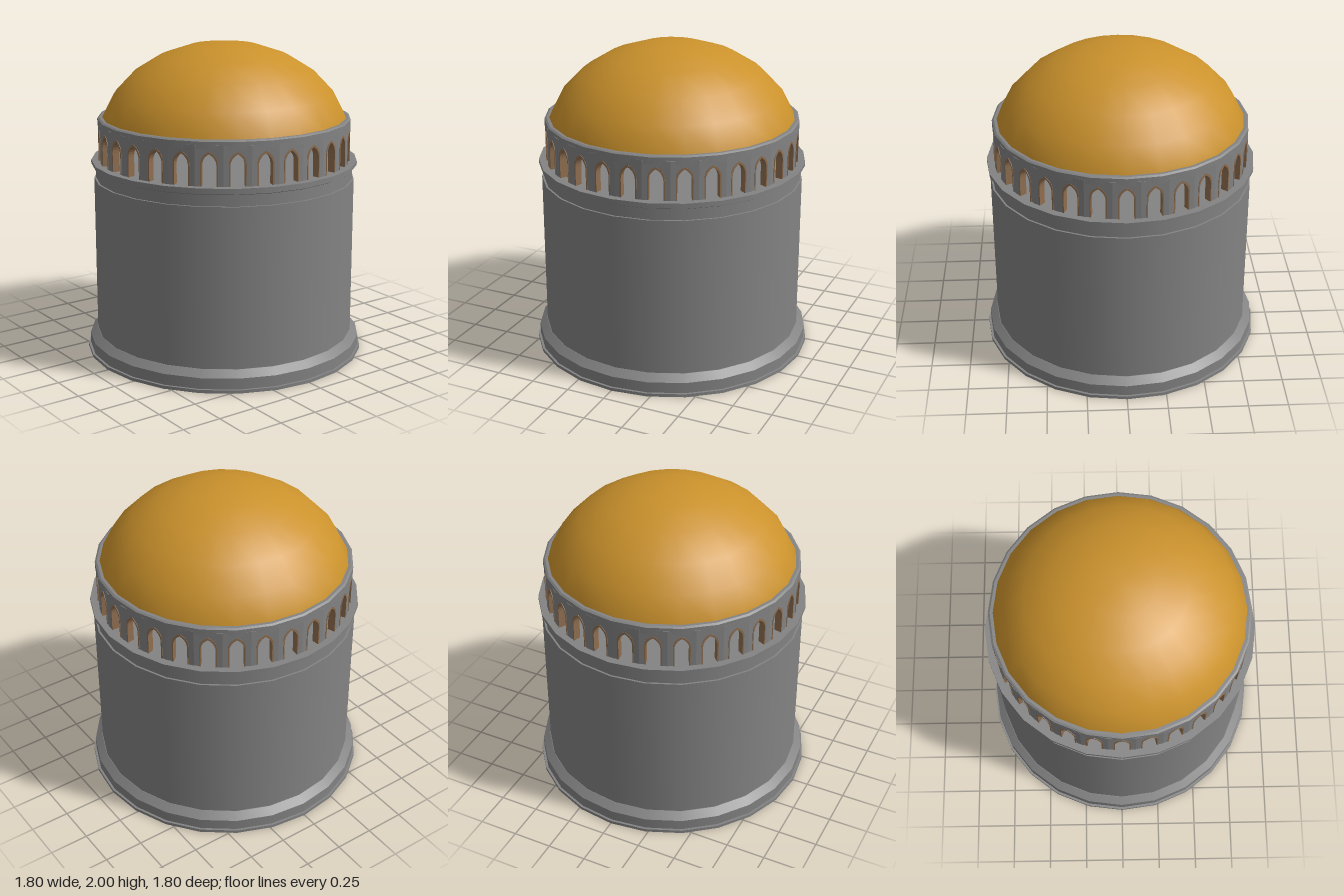
import * as THREE from 'three';
import { mergeGeometries } from 'three/addons/utils/BufferGeometryUtils.js';

const SIDES = 24, ARCHES = 30;
const WALL_R = 0.8;      // distance from the axis to the outer face of the arcade
const WALL_DEPTH = 0.042;

const stone = new THREE.MeshStandardMaterial({ color: 0x838383 });
const gold = new THREE.MeshStandardMaterial({ color: 0xcb922c });
const wood = new THREE.MeshStandardMaterial({ color: 0x8e6e50 });

// Turned stone part: smooth around the axis, with sharp edges along the profile
function turned(name, profile) {
  const points = profile.map(([r, y]) => new THREE.Vector2(r, y));
  const bands = points.slice(1).map((p, i) => new THREE.LatheGeometry([points[i], p], SIDES));
  const mesh = new THREE.Mesh(mergeGeometries(bands), stone);
  mesh.name = name;
  return mesh;
}

// Pointed arch outline, from the right foot over the apex to the left foot
function archPoints(halfWidth, apex) {
  const foot = 1.25, spring = apex - 0.075;
  const curve = new THREE.QuadraticBezierCurve(
    new THREE.Vector2(halfWidth, spring),
    new THREE.Vector2(halfWidth, apex - 0.024),
    new THREE.Vector2(0, apex)
  );
  const right = [new THREE.Vector2(halfWidth, foot), ...curve.getPoints(5)];
  const left = right.slice(0, -1).reverse().map(p => new THREE.Vector2(-p.x, p.y));
  return [...right, ...left];
}

function extruded(points, depth, front) {
  const geometry = new THREE.ExtrudeGeometry(new THREE.Shape(points), { depth, bevelEnabled: false });
  return geometry.translate(0, 0, front - depth);
}

export function createModel() {
  const model = new THREE.Group();
  model.name = 'domedRotunda';

  // Drum with stepped plinth, plain wall, frieze and cornice
  model.add(turned('drum', [
    [0, 0], [0.9, 0], [0.9, 0.02], [0.885, 0.02], [0.885, 0.09], [0.838, 0.13],
    [0.835, 0.13], [0.835, 1.14], [0.823, 1.14], [0.823, 1.21], [0.832, 1.215],
    [0.832, 1.232], [0.852, 1.232], [0.852, 1.255], [0, 1.255],
  ]));

  // Arcade: one bay with a pointed opening and its thin frame, repeated around
  const outer = archPoints(0.052, 1.462);
  const inner = archPoints(0.044, 1.448);
  const half = WALL_R * Math.tan(Math.PI / ARCHES);
  const bay = [
    new THREE.Vector2(half, 1.25), new THREE.Vector2(half, 1.5),
    new THREE.Vector2(-half, 1.5), new THREE.Vector2(-half, 1.25),
    ...outer.slice().reverse(),
  ];
  const bayGeometry = extruded(bay, WALL_DEPTH, WALL_R);
  const frameGeometry = extruded([...outer, ...inner.slice().reverse()], WALL_DEPTH + 0.006, WALL_R + 0.003);
  const arcade = new THREE.Group();
  arcade.name = 'arcade';
  for (let i = 0; i < ARCHES; i++) {
    const wall = new THREE.Mesh(bayGeometry, stone);
    wall.name = 'arcadeBay';
    const frame = new THREE.Mesh(frameGeometry, wood);
    frame.name = 'archFrame';
    wall.rotation.y = frame.rotation.y = (i + 0.5) * 2 * Math.PI / ARCHES;
    arcade.add(wall, frame);
  }
  model.add(arcade);

  // Ring carrying the dome, closed below by the ceiling
  model.add(turned('domeRing', [
    [0, 1.478], [0.807, 1.478], [0.807, 1.522], [0.795, 1.53], [0.74, 1.53],
  ]));

  // Flattened dome
  const domeGeometry = new THREE.SphereGeometry(0.81, SIDES, 5, 0, Math.PI * 2, 0, Math.PI * 5 / 12);
  domeGeometry.scale(1, 0.65 / 0.81, 1).translate(0, 1.35, 0);
  const dome = new THREE.Mesh(domeGeometry, gold);
  dome.name = 'dome';
  model.add(dome);

  return model;
}
